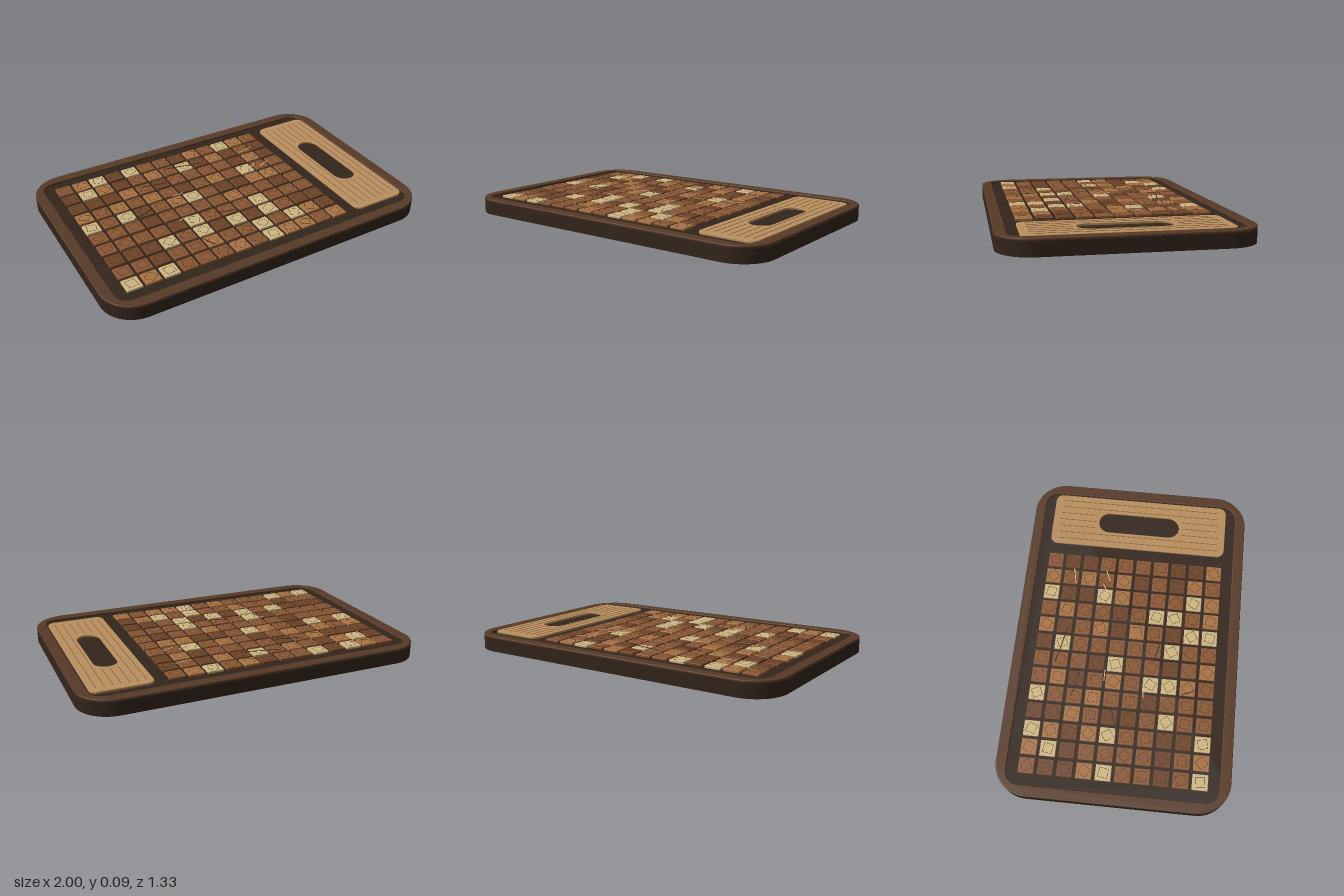
import * as THREE from 'three';

const FLOOR = 0.076;   // bottom of the tray recess
const TOP = 0.09;      // level of the tiles and handle panel

const mat = (color, extra = {}) => new THREE.MeshStandardMaterial({ color, ...extra });

// Rounded rectangle centred on cx, drawn into a Shape or Path
function roundRect(p, cx, w, d, r) {
  const x = w / 2 - r, z = d / 2 - r;
  p.absarc(cx + x, z, r, 0, Math.PI / 2);
  p.absarc(cx - x, z, r, Math.PI / 2, Math.PI);
  p.absarc(cx - x, -z, r, Math.PI, Math.PI * 1.5);
  p.absarc(cx + x, -z, r, Math.PI * 1.5, Math.PI * 2);
  p.closePath();
  return p;
}

// Flat slab standing between heights y0 and y1; the bevel stays inside the outline
function slab(shape, y0, y1, bevel = 0, segments = 3) {
  const geo = new THREE.ExtrudeGeometry(shape, {
    depth: y1 - y0 - 2 * bevel, curveSegments: 12,
    bevelEnabled: bevel > 0, bevelSize: bevel, bevelThickness: bevel,
    bevelOffset: -bevel, bevelSegments: segments,
  });
  geo.rotateX(-Math.PI / 2);
  geo.translate(0, y0 + bevel, 0);
  return geo;
}

function seeded(seed) {
  return () => {
    seed = (seed * 16807) % 2147483647;
    return seed / 2147483647;
  };
}

export function createModel() {
  const model = new THREE.Group();
  const add = (name, geo, material, parent = model) => {
    const mesh = new THREE.Mesh(geo, material);
    mesh.name = name;
    parent.add(mesh);
    return mesh;
  };
  const rand = seeded(417);
  const darkWood = mat(0x33251b);

  // Board body and raised rim
  add('boardBase', slab(roundRect(new THREE.Shape(), 0, 2, 1.334, 0.19), 0, FLOOR), darkWood);
  const rim = roundRect(new THREE.Shape(), 0, 2, 1.334, 0.19);
  rim.holes.push(roundRect(new THREE.Path(), 0, 1.874, 1.208, 0.08));
  add('rim', slab(rim, FLOOR, TOP, 0.005), mat(0x573a27));

  // Handle panel with a long rounded slot
  const handle = new THREE.Group();
  handle.name = 'handlePanel';
  model.add(handle);
  const panel = roundRect(new THREE.Shape(), 0.757, 0.343, 1.09, 0.045);
  panel.holes.push(roundRect(new THREE.Path(), 0.757, 0.135, 0.506, 0.067));
  add('handleBoard', slab(panel, FLOOR, TOP, 0.003), mat(0xb98f5e), handle);

  // Wood grain on the handle; the lines over the slot are split in two
  const grainMat = mat(0x8c673f);
  const grain = (x, z, length) => {
    const g = add('handleGrain', new THREE.BoxGeometry(0.004, 0.003, length), grainMat, handle);
    g.position.set(x, TOP, z);
  };
  for (let i = 0; i < 7; i++) {
    const x = 0.623 + i * 0.0445;
    if (Math.abs(x - 0.757) < 0.07) {
      for (const s of [-1, 1]) grain(x, s * 0.385, 0.23);
    } else {
      grain(x, 0, 1.0);
    }
  }

  // Mosaic of end-grain blocks: one digit per block, dark (0) to pale (3)
  const shades = [0x6e4327, 0x8a5733, 0xa97243, 0xcfb682].map((c) => mat(c));
  const pattern = [
    '1230311021321',
    '0320121302010',
    '0002101111020',
    '2121210121311',
    '3130123100221',
    '1110111121101',
    '1111031113111',
    '0003130303100',
    '1101121131320',
    '3231112132212',
  ];
  const tiles = new THREE.Group();
  tiles.name = 'mosaicTiles';
  model.add(tiles);
  const tileGeo = slab(roundRect(new THREE.Shape(), 0, 0.09, 0.09, 0.003), FLOOR, TOP, 0.002, 1);
  const markGeo = new THREE.RingGeometry(0.036, 0.039, 4, 1);
  markGeo.rotateX(-Math.PI / 2);
  const markMat = mat(0x3d2616, { side: THREE.DoubleSide });
  pattern.forEach((row, r) => {
    [...row].forEach((digit, c) => {
      const x = -0.825 + c * 0.1075, z = (r - 4.5) * 0.1092;
      const lift = rand() * 0.002;
      add('tile', tileGeo, shades[+digit], tiles).position.set(x, lift, z);
      // Square growth ring, turned at random
      const mark = add('tileRing', markGeo, markMat, tiles);
      mark.position.set(x, TOP + lift + 0.0008, z);
      mark.rotation.y = rand() * Math.PI / 2;
    });
  });

  // Fine pale and dark scratches: x1, z1, x2, z2
  const scratches = new THREE.Group();
  scratches.name = 'scratches';
  model.add(scratches);
  const scratch = (material) => ([x1, z1, x2, z2]) => {
    const length = Math.hypot(x2 - x1, z2 - z1);
    const s = add('scratch', new THREE.BoxGeometry(length, 0.002, 0.005), material, scratches);
    s.position.set((x1 + x2) / 2, TOP + 0.002, (z1 + z2) / 2);
    s.rotation.y = -Math.atan2(z2 - z1, x2 - x1);
  };
  [
    [0.32, -0.35, 0.42, -0.37], [-0.29, -0.11, -0.22, -0.11], [0.25, -0.14, 0.33, -0.18],
    [0.35, -0.14, 0.42, -0.17], [-0.37, 0.13, -0.31, 0.12],
  ].forEach(scratch(mat(0xd9c194)));
  [
    [-0.2, -0.41, 0.03, -0.36], [-0.4, -0.29, -0.25, -0.26], [-0.58, -0.01, -0.45, -0.05],
    [-0.14, 0.17, -0.02, 0.2], [-0.33, 0.35, -0.3, 0.42],
  ].forEach(scratch(mat(0x3a2617)));

  return model;
}
